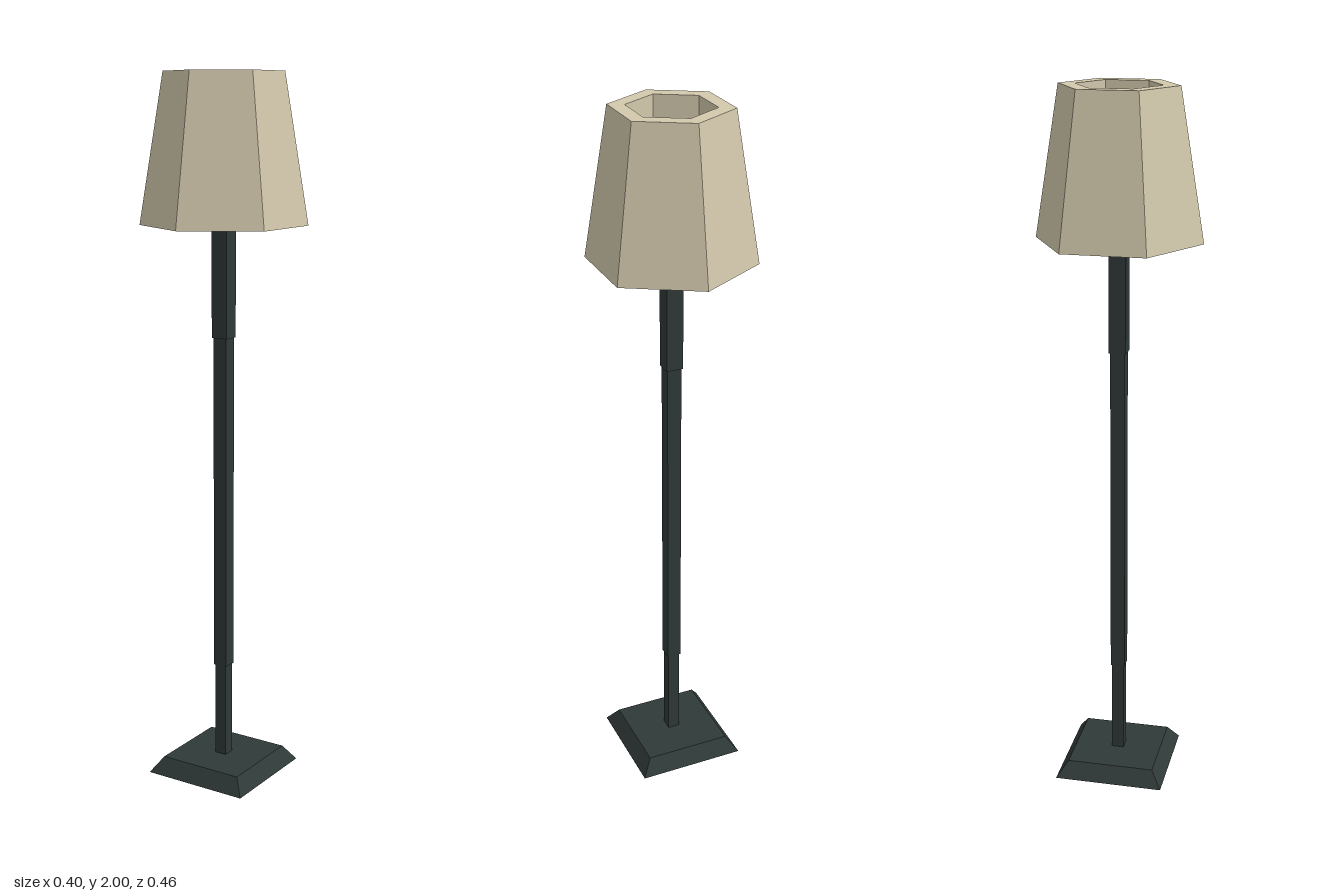
import * as THREE from 'three';

const metal = new THREE.MeshStandardMaterial({ color: 0x2f3938 });
metal.name = 'dark metal';
const fabric = new THREE.MeshStandardMaterial({ color: 0xd2c8ac });
fabric.name = 'beige shade';

// Faceted mesh with hard edges
function addPart(group, name, geometry, material) {
  const flat = geometry.toNonIndexed();
  flat.computeVertexNormals();
  const mesh = new THREE.Mesh(flat, material);
  mesh.name = name;
  group.add(mesh);
  return mesh;
}

export function createModel() {
  const lamp = new THREE.Group();
  lamp.name = 'floorLamp';

  // Square foot with sloping sides
  const baseHeight = 0.045;
  const base = new THREE.CylinderGeometry(0.126 * Math.SQRT2, 0.157 * Math.SQRT2, baseHeight, 4);
  base.rotateY(Math.PI / 4);
  base.translate(0, baseHeight / 2, 0);
  addPart(lamp, 'base', base, metal);

  // Square pole in three sections, thicker towards the top
  const sections = [
    ['lowerPole', 0.035, 0.04, 0.32],
    ['middlePole', 0.041, 0.32, 1.28],
    ['upperPole', 0.048, 1.28, 1.75],
  ];
  for (const [name, width, bottom, top] of sections) {
    const pole = new THREE.BoxGeometry(width, top - bottom, width);
    pole.translate(0, (bottom + top) / 2, 0);
    addPart(lamp, name, pole, metal);
  }

  // Thick six-sided shade, tapered outside with a straight hole through it
  const profile = [
    [0.231, 1.59], [0.164, 2], [0.118, 2], [0.118, 1.59], [0.231, 1.59],
  ].map(([r, y]) => new THREE.Vector2(r, y));
  addPart(lamp, 'shade', new THREE.LatheGeometry(profile, 6), fabric);

  return lamp;
}
